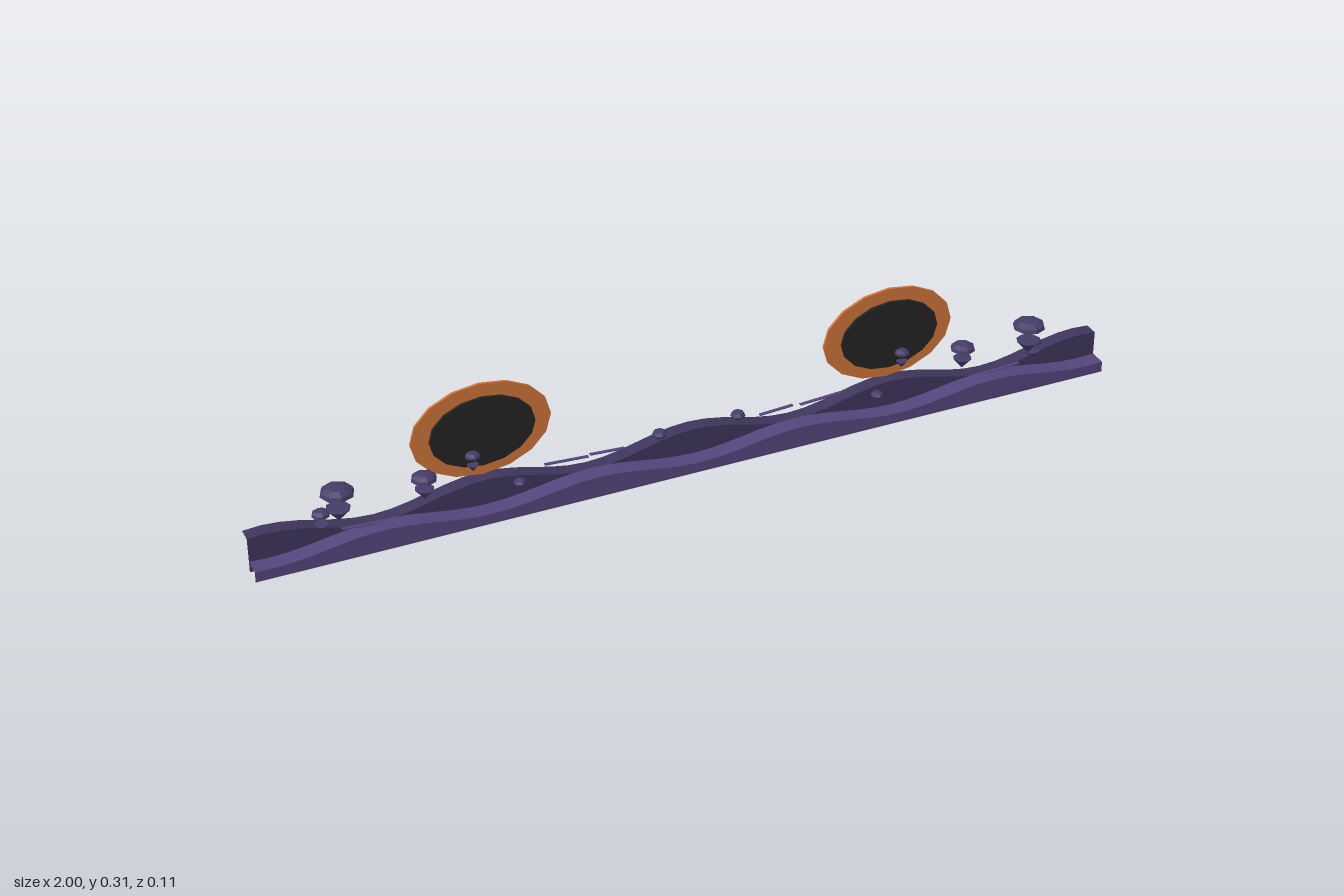
import * as THREE from 'three';

const mat = (name, color, side = THREE.FrontSide) => {
  const m = new THREE.MeshStandardMaterial({ color, side, flatShading: true });
  m.name = name;
  return m;
};

export function createModel() {
  const model = new THREE.Group();
  const darkGround = mat('dark ground', 0x3f365c, THREE.DoubleSide);
  const purpleGround = mat('purple ground', 0x54457c, THREE.DoubleSide);
  const stone = mat('stone purple', 0x463c68);
  const orange = mat('orange', 0xd0743a);
  const black = mat('black', 0x242424);

  const add = (name, geometry, material, x = 0, y = 0, z = 0) => {
    const mesh = new THREE.Mesh(geometry, material);
    mesh.name = name;
    mesh.position.set(x, y, z);
    model.add(mesh);
    return mesh;
  };

  // Rolling ridge: open front wall with a ribbon running back from its crest
  const ridge = (name, material, mid, amp, zFront, zBack) => {
    const n = 50, pos = [], index = [];
    for (let i = 0; i <= n; i++) {
      const x = -1 + (2 * i) / n;
      const y = mid + amp * Math.cos((2 * Math.PI * x) / 0.48);
      pos.push(x, 0, zFront, x, y, zFront, x, y, zBack);
      if (i === n) continue;
      const a = i * 3;
      for (const k of [a, a + 1]) index.push(k, k + 3, k + 4, k, k + 4, k + 1);
    }
    const g = new THREE.BufferGeometry();
    g.setAttribute('position', new THREE.Float32BufferAttribute(pos, 3));
    g.setIndex(index);
    g.computeVertexNormals();
    add(name, g, material);
  };
  ridge('backRidge', darkGround, 0.065, 0.02, -0.02, -0.053);
  ridge('frontRidge', purpleGround, 0.037, -0.013, 0.02, -0.02);

  // Oval disc facing forward
  const disc = (name, material, x, z, rx, ry) => {
    const g = new THREE.CylinderGeometry(1, 1, 0.006, 16).rotateX(Math.PI / 2);
    add(name, g, material, x, 0.197, z).scale.set(rx, ry, 1);
  };

  // Floating islet: low dome above a downward cone
  const islet = (x, z, r, capY, capH, coneR, coneTop, coneH) => {
    const dome = [[0, 0], [r, 0], [r * 0.92, capH * 0.45], [r * 0.55, capH * 0.85], [0, capH]];
    const profile = dome.map(p => new THREE.Vector2(...p));
    add('isletCap', new THREE.LatheGeometry(profile, 8), stone, x, capY, z);
    const cone = new THREE.ConeGeometry(coneR, coneH, 8).rotateX(Math.PI);
    add('isletCone', cone, stone, x, coneTop - coneH / 2, z);
  };

  for (const s of [-1, 1]) {
    disc('outerDisc', orange, s * 0.477, -0.045, 0.157, 0.111);
    disc('innerDisc', black, s * 0.477, -0.035, 0.118, 0.083);

    islet(s * 0.81, 0.003, 0.037, 0.156, 0.019, 0.027, 0.121, 0.031);
    islet(s * 0.63, 0.025, 0.028, 0.155, 0.016, 0.021, 0.132, 0.025);
    islet(s * 0.84, -0.025, 0.02, 0.094, 0.013, 0.016, 0.071, 0.02);
    islet(s * 0.505, -0.025, 0.017, 0.147, 0.011, 0.013, 0.128, 0.017);

    // Floating pebbles
    for (const [x, y, z, r] of [[0.42, 0.09, 0.025, 0.015], [0.092, 0.112, 0.005, 0.017]]) {
      const g = new THREE.CylinderGeometry(r * 0.75, r * 0.6, r * 1.1, 7);
      const widened = new THREE.LatheGeometry(
        [[0, -0.6], [0.7, -0.4], [1, 0], [0.7, 0.4], [0, 0.6]].map(p => new THREE.Vector2(p[0] * r, p[1] * r)), 7);
      g.dispose();
      add('pebble', widened, stone, s * x, y, z);
    }

    // Thin drifting slivers of mist
    for (const [x, y, z, w] of [[0.3, 0.09, -0.012, 0.1], [0.2, 0.077, -0.028, 0.08], [0.755, 0.052, -0.014, 0.09]]) {
      const sliver = add('mistSliver', new THREE.BoxGeometry(w, 0.002, 0.008), purpleGround, s * x, y, z);
      sliver.rotation.z = s * 0.06;
    }
  }
  return model;
}
